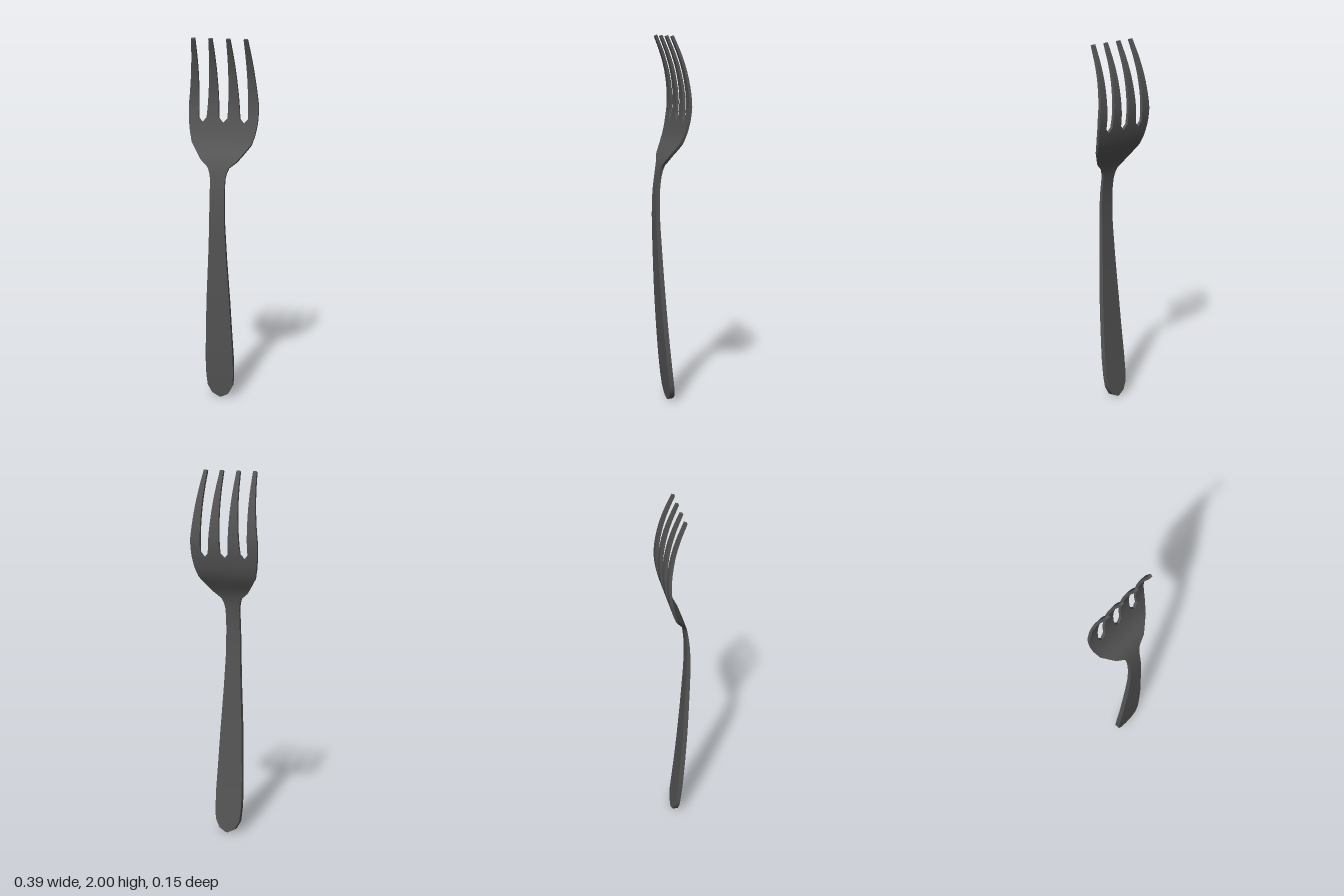
import * as THREE from 'three';

// Side profile along the height: centre depth and thickness
const heights = [0, 0.2, 0.5, 0.85, 1.08, 1.22, 1.34, 1.45, 1.55, 1.65, 1.8, 1.9, 1.997];
const depths = [
  -0.013, 0.030, 0.011, 0.027, 0.037, 0.026, 0.058, 0.024, 0.066, 0.020, 0.059, 0.016, 0.033, 0.015,
  -0.027, 0.015, -0.055, 0.015, -0.065, 0.015, -0.047, 0.015, -0.018, 0.015, 0.022, 0.015,
];
const profile = new THREE.CubicInterpolant(heights, depths, 2);
const depthAt = (y) => profile.evaluate(y)[0];
const thicknessAt = (y) => profile.evaluate(y)[1];

// Unit normal (y, z) of the bent sheet at a height
function bendNormal(y) {
  const a = Math.max(0, y - 0.01), b = Math.min(1.997, y + 0.01);
  const slope = (depthAt(b) - depthAt(a)) / (b - a);
  const length = Math.hypot(slope, 1);
  return [-slope / length, 1 / length];
}

// Insert rows so that the bend stays smooth
function refine(rows, step = 0.04) {
  const out = [rows[0]];
  for (let i = 1; i < rows.length; i++) {
    const n = Math.ceil((rows[i][0] - rows[i - 1][0]) / step);
    for (let k = 1; k <= n; k++) {
      out.push(rows[i].map((v, j) => THREE.MathUtils.lerp(rows[i - 1][j], v, k / n)));
    }
  }
  return out;
}

// Bent strip from rows of [height, low x, high x], with four walls and two end caps
function strip(name, outline, material) {
  const rows = refine(outline);
  const sections = rows.map(([y, x0, x1]) => {
    const [ny, nz] = bendNormal(y);
    const h = thicknessAt(y) / 2, z = depthAt(y);
    return [
      [x0, y + ny * h, z + nz * h], [x1, y + ny * h, z + nz * h],
      [x1, y - ny * h, z - nz * h], [x0, y - ny * h, z - nz * h],
    ];
  });
  const positions = [], index = [];
  for (let w = 0; w < 4; w++) {
    sections.forEach((s, i) => {
      const v = positions.length / 3;
      positions.push(...s[w], ...s[(w + 1) % 4]);
      if (i > 0) index.push(v - 2, v - 1, v + 1, v - 2, v + 1, v);
    });
  }
  [[...sections[0]].reverse(), sections[sections.length - 1]].forEach((cap) => {
    const v = positions.length / 3;
    positions.push(...cap.flat());
    index.push(v, v + 1, v + 2, v, v + 2, v + 3);
  });
  const geometry = new THREE.BufferGeometry();
  geometry.setAttribute('position', new THREE.Float32BufferAttribute(positions, 3));
  geometry.setIndex(index);
  geometry.computeVertexNormals();

  // Exact normals on front and back keep the shading continuous between parts
  rows.forEach(([y], i) => {
    const [ny, nz] = bendNormal(y);
    for (const k of [0, 1]) {
      geometry.attributes.normal.setXYZ(2 * i + k, 0, ny, nz);
      geometry.attributes.normal.setXYZ(2 * (2 * rows.length + i) + k, 0, -ny, -nz);
    }
  });
  const mesh = new THREE.Mesh(geometry, material);
  mesh.name = name;
  return mesh;
}

const symmetric = (rows) => rows.map(([y, w]) => [y, -w, w]);
const mirrored = (rows) => rows.map(([y, a, b]) => [y, -b, -a]);

export function createModel() {
  const fork = new THREE.Group();
  fork.name = 'fork';
  const metal = new THREE.MeshStandardMaterial({ color: 0x555555 });

  // Handle with a rounded lower end
  fork.add(strip('handle', symmetric([
    [0.006, 0.006], [0.028, 0.046], [0.075, 0.071], [0.14, 0.077], [0.24, 0.078],
    [0.58, 0.064], [0.82, 0.050], [1.0, 0.042], [1.15, 0.040], [1.22, 0.040],
  ]), metal));

  // Head widening from the neck up to the foot of the slots
  fork.add(strip('head', symmetric([
    [1.22, 0.040], [1.26, 0.041], [1.29, 0.047], [1.318, 0.058], [1.353, 0.100],
    [1.395, 0.133], [1.438, 0.165], [1.49, 0.180], [1.544, 0.189],
  ]), metal));

  // Two tines per side, tapering to blunt tips
  const outerTine = [
    [1.544, 0.115, 0.189], [1.57, 0.137, 0.191], [1.634, 0.136, 0.193],
    [1.74, 0.135, 0.181], [1.997, 0.132, 0.152],
  ];
  const innerTine = [[1.544, 0, 0.115], [1.57, 0.024, 0.092], [1.997, 0.038, 0.058]];
  fork.add(strip('leftOuterTine', outerTine, metal));
  fork.add(strip('leftInnerTine', innerTine, metal));
  fork.add(strip('rightInnerTine', mirrored(innerTine), metal));
  fork.add(strip('rightOuterTine', mirrored(outerTine), metal));
  return fork;
}
